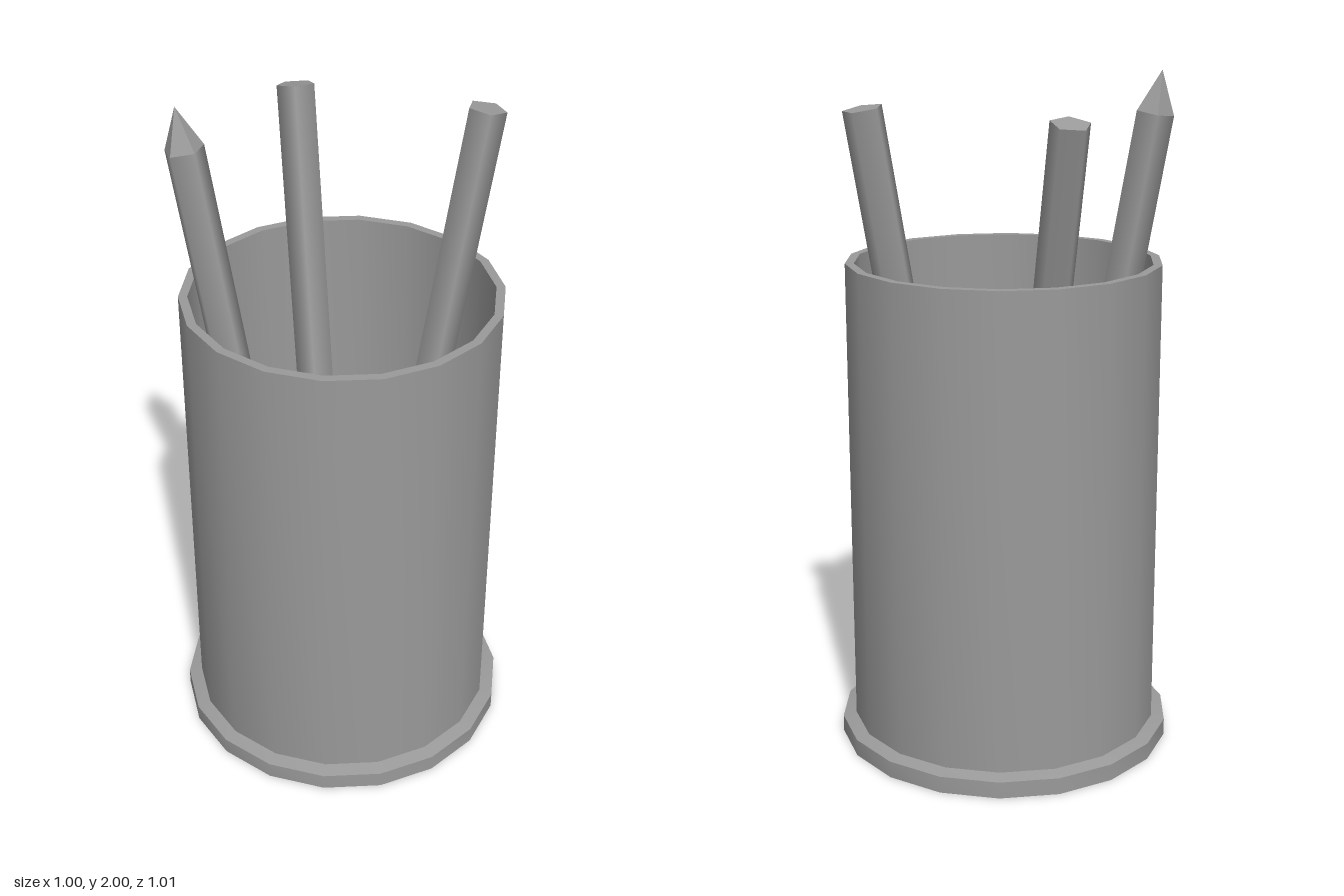
import * as THREE from 'three';
import { toCreasedNormals } from 'three/addons/utils/BufferGeometryUtils.js';

const grey = new THREE.MeshStandardMaterial({ color: 0x9a9a9a });
const greyFlat = new THREE.MeshStandardMaterial({ color: 0x9a9a9a, flatShading: true });
const PENCIL_RADIUS = 0.057;

// Five-sided pencil between two points; phase is the turn of its corners in degrees
function makePencil(name, bottom, top, phase, tipLength = 0) {
  const start = new THREE.Vector3(...bottom);
  const axis = new THREE.Vector3(...top).sub(start);
  const length = axis.length();
  const theta = THREE.MathUtils.degToRad(90 - phase);

  const pencil = new THREE.Group();
  pencil.name = name;
  const shaft = new THREE.Mesh(
    new THREE.CylinderGeometry(PENCIL_RADIUS, PENCIL_RADIUS, length, 5, 1, false, theta), grey);
  shaft.name = 'shaft';
  shaft.position.y = length / 2;
  pencil.add(shaft);

  if (tipLength > 0) {
    const tip = new THREE.Mesh(
      new THREE.ConeGeometry(PENCIL_RADIUS, tipLength, 5, 1, true, theta), greyFlat);
    tip.name = 'sharpenedTip';
    tip.position.y = length + tipLength / 2;
    pencil.add(tip);
  }

  pencil.position.copy(start);
  pencil.quaternion.setFromUnitVectors(new THREE.Vector3(0, 1, 0), axis.normalize());
  return pencil;
}

export function createModel() {
  const model = new THREE.Group();
  model.name = 'pencilCup';

  // Cup: flared foot, straight wall, thin rim and inner floor
  const profile = [
    [0, 0], [0.5, 0], [0.5, 0.05], [0.46, 0.06],
    [0.46, 1.46], [0.434, 1.46], [0.434, 0.06], [0, 0.06],
  ].map(([r, y]) => new THREE.Vector2(r, y));
  const cup = new THREE.Mesh(
    toCreasedNormals(new THREE.LatheGeometry(profile, 18, Math.PI / 2), Math.PI / 6), grey);
  cup.name = 'cup';
  cup.position.z = 0.01;
  model.add(cup);

  // Pencils leaning outwards
  model.add(
    makePencil('sharpPencil', [-0.169, 0.18, 0.02], [-0.377, 1.88, -0.187], 5, 0.121),
    makePencil('backPencil', [-0.024, 0.19, -0.017], [0.053, 1.892, -0.45], 42),
    makePencil('sidePencil', [0.163, 0.24, -0.033], [0.453, 1.915, -0.033], 36),
  );

  return model;
}
